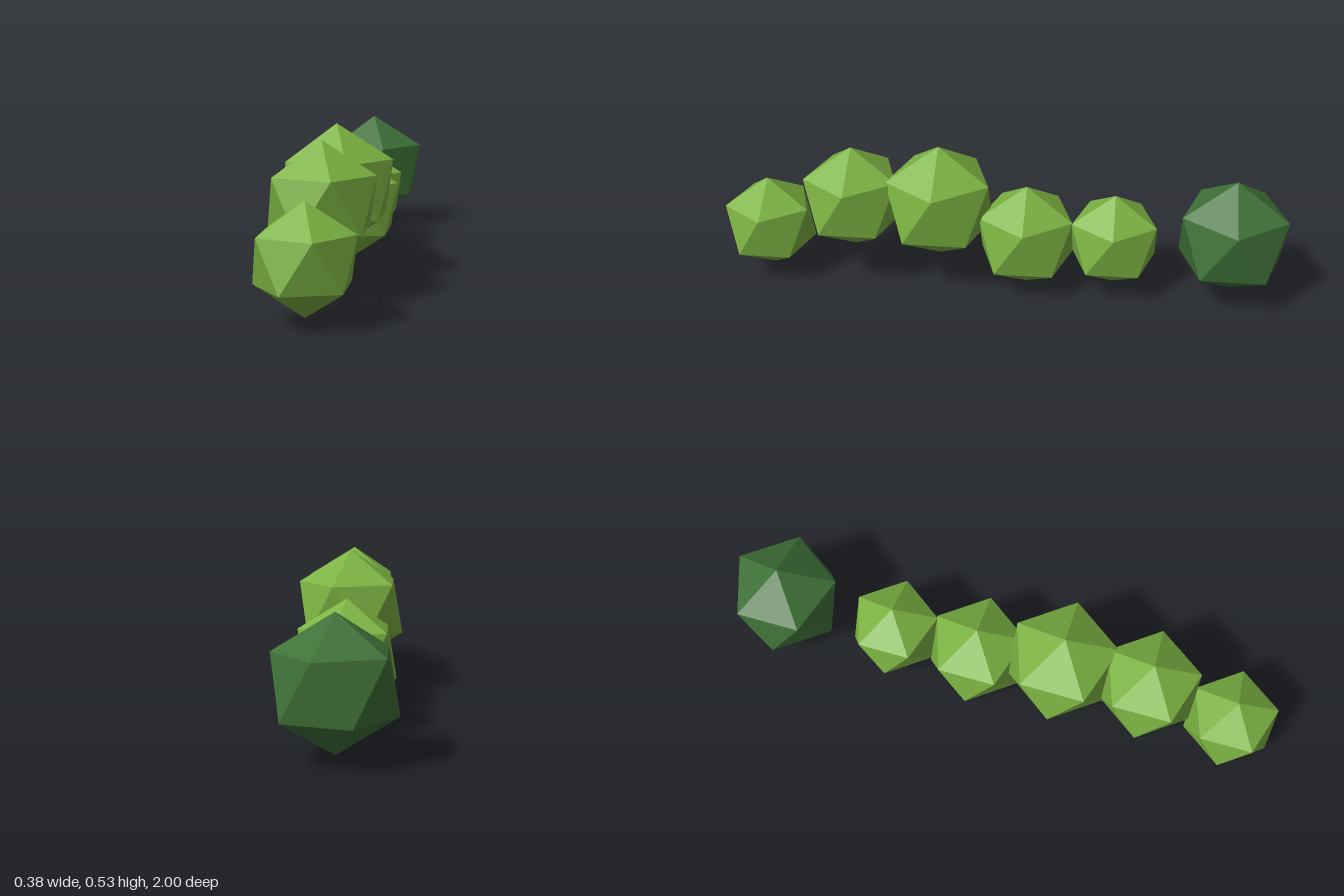
import * as THREE from 'three';

export function createModel() {
  const model = new THREE.Group();
  model.name = 'caterpillar';

  const light = new THREE.MeshStandardMaterial({ color: 0x7cb342, flatShading: true });
  const dark = new THREE.MeshStandardMaterial({ color: 0x3f7238, flatShading: true });

  // Icosahedron standing on a corner, with an upper-ring corner towards +x
  const ball = (name, radius, y, z, material) => {
    const geometry = new THREE.IcosahedronGeometry(radius, 0);
    geometry.rotateZ(-Math.atan(2 / (1 + Math.sqrt(5))));
    const mesh = new THREE.Mesh(geometry, material);
    mesh.name = name;
    mesh.position.set(0, y, z);
    model.add(mesh);
  };

  // Evenly spaced body segments from front to back: [radius, height]
  const segments = [
    [0.1757, 0.197],
    [0.1952, 0.316],
    [0.2147, 0.316],
    [0.1952, 0.1952],
    [0.1757, 0.197],
  ];
  segments.forEach(([radius, y], i) =>
    ball(`bodySegment${i + 1}`, radius, y, 0.8505 - 0.3125 * i, light));

  // Separate dark ball at the back end
  ball('endBall', 0.2147, 0.236, -0.8173, dark);

  return model;
}
